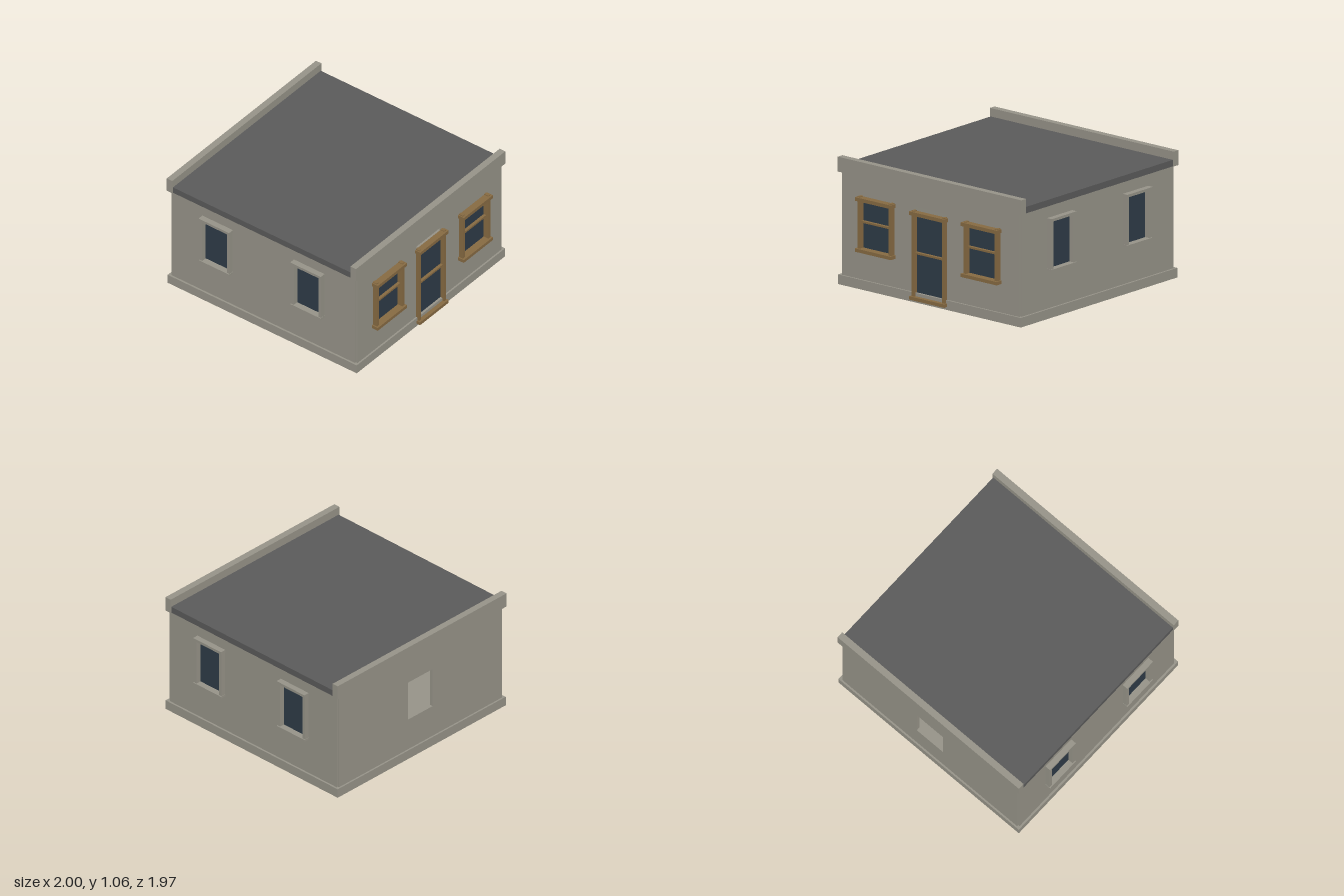
import * as THREE from 'three';

const material = (name, color) => {
  const m = new THREE.MeshStandardMaterial({ color });
  m.name = name;
  return m;
};

export function createModel() {
  const model = new THREE.Group();
  model.name = 'house';
  const stone = material('stone', 0x969388);
  const roofGrey = material('roofGrey', 0x5a5a5a);
  const wood = material('wood', 0x866a42);
  const glass = material('glass', 0x2e3b47);

  // Box given by its lower and upper corners
  const box = (parent, name, mat, [x0, y0, z0], [x1, y1, z1]) => {
    const mesh = new THREE.Mesh(new THREE.BoxGeometry(x1 - x0, y1 - y0, z1 - z0), mat);
    mesh.position.set((x0 + x1) / 2, (y0 + y1) / 2, (z0 + z1) / 2);
    mesh.name = name;
    parent.add(mesh);
    return mesh;
  };

  // Wall facing local +z with rectangular openings [x0, y0, x1, y1]; outer face at z = 0
  const THICK = 0.03;
  const rect = (path, x0, y0, x1, y1) =>
    path.moveTo(x0, y0).lineTo(x1, y0).lineTo(x1, y1).lineTo(x0, y1).closePath();
  const wall = (name, x0, x1, openings) => {
    const shape = new THREE.Shape();
    rect(shape, x0, 0.05, x1, 0.94);
    for (const o of openings) {
      const hole = new THREE.Path();
      rect(hole, ...o);
      shape.holes.push(hole);
    }
    const geo = new THREE.ExtrudeGeometry(shape, { depth: THICK, bevelEnabled: false });
    geo.translate(0, 0, -THICK);
    const mesh = new THREE.Mesh(geo, stone);
    mesh.name = name;
    model.add(mesh);
    return mesh;
  };

  // Plinth, roof slab and the two parapets
  box(model, 'plinth', stone, [-0.967, 0, -0.98], [0.967, 0.08, 0.94]);
  box(model, 'roof', roofGrey, [-0.963, 0.936, -0.93], [0.963, 0.99, 0.882]);
  box(model, 'frontParapet', stone, [-0.972, 0.936, 0.88], [0.972, 1.06, 0.937]);
  box(model, 'backParapet', stone, [-0.972, 0.936, -0.985], [0.972, 1.06, -0.929]);

  // Front and back walls
  const doorHole = [-0.172, 0.06, 0.172, 0.79];
  const frontHole = (c) => [c - 0.165, 0.335, c + 0.165, 0.76];
  wall('frontWall', -0.937, 0.937, [doorHole, frontHole(-0.56), frontHole(0.56)])
    .position.z = 0.925;
  const back = wall('backWall', -0.937, 0.937, [[-0.14, 0.36, 0.14, 0.71]]);
  back.rotation.y = Math.PI;
  back.position.z = -0.965;

  // Side walls with framed windows; s is the side, u runs along the wall
  for (const s of [1, -1]) {
    const label = s > 0 ? 'left' : 'right';
    const centres = [-s * 0.445, s * 0.485];
    const ends = [-s * 0.908, s * 0.953].sort((a, b) => a - b);
    const side = wall(label + 'Wall', ends[0], ends[1],
      centres.map((c) => [c - 0.127, 0.413, c + 0.127, 0.812]));
    const group = new THREE.Group();
    group.name = label + 'Windows';
    for (const c of centres) {
      box(group, 'windowPane', glass, [c - 0.13, 0.41, -0.012], [c + 0.13, 0.815, -0.004]);
      box(group, 'windowSill', stone, [c - 0.155, 0.395, -0.01], [c + 0.155, 0.413, 0.05]);
      box(group, 'windowHead', stone, [c - 0.155, 0.812, -0.01], [c + 0.155, 0.835, 0.05]);
      for (const d of [-1, 1]) {
        const e = [c + d * 0.152, c + d * 0.125].sort((a, b) => a - b);
        box(group, 'windowJamb', stone, [e[0], 0.413, -0.01], [e[1], 0.812, 0.041]);
      }
    }
    for (const part of [side, group]) {
      part.rotation.y = s * Math.PI / 2;
      part.position.x = s * 0.95;
    }
    model.add(group);
  }

  // Timber frame with head, sill, jambs, middle rail and glazing
  const woodFrame = (name, c, half, y0, y1, rail, front) => {
    const g = new THREE.Group();
    g.name = name;
    const back = 0.92;
    box(g, 'pane', glass, [c - half + 0.02, y0 + 0.015, 0.912], [c + half - 0.02, y1 - 0.015, 0.92]);
    box(g, 'head', wood, [c - half - 0.012, y1 - 0.03, back], [c + half + 0.012, y1, front]);
    box(g, 'sill', wood, [c - half - 0.012, y0, back], [c + half + 0.012, y0 + 0.028, front]);
    box(g, 'rail', wood, [c - half + 0.01, rail - 0.008, back], [c + half - 0.01, rail + 0.008, 0.945]);
    for (const d of [-1, 1]) {
      const e = [c + d * half, c + d * (half - 0.025)].sort((a, b) => a - b);
      box(g, 'jamb', wood, [e[0], y0 - 0.006, back], [e[1], y1 + 0.006, front - 0.018]);
    }
    model.add(g);
  };
  woodFrame('rightFrontWindow', -0.56, 0.178, 0.32, 0.775, 0.568, 0.985);
  woodFrame('leftFrontWindow', 0.56, 0.178, 0.32, 0.775, 0.568, 0.985);
  woodFrame('frontDoor', 0, 0.174, 0.025, 0.76, 0.413, 0.975);

  return model;
}
